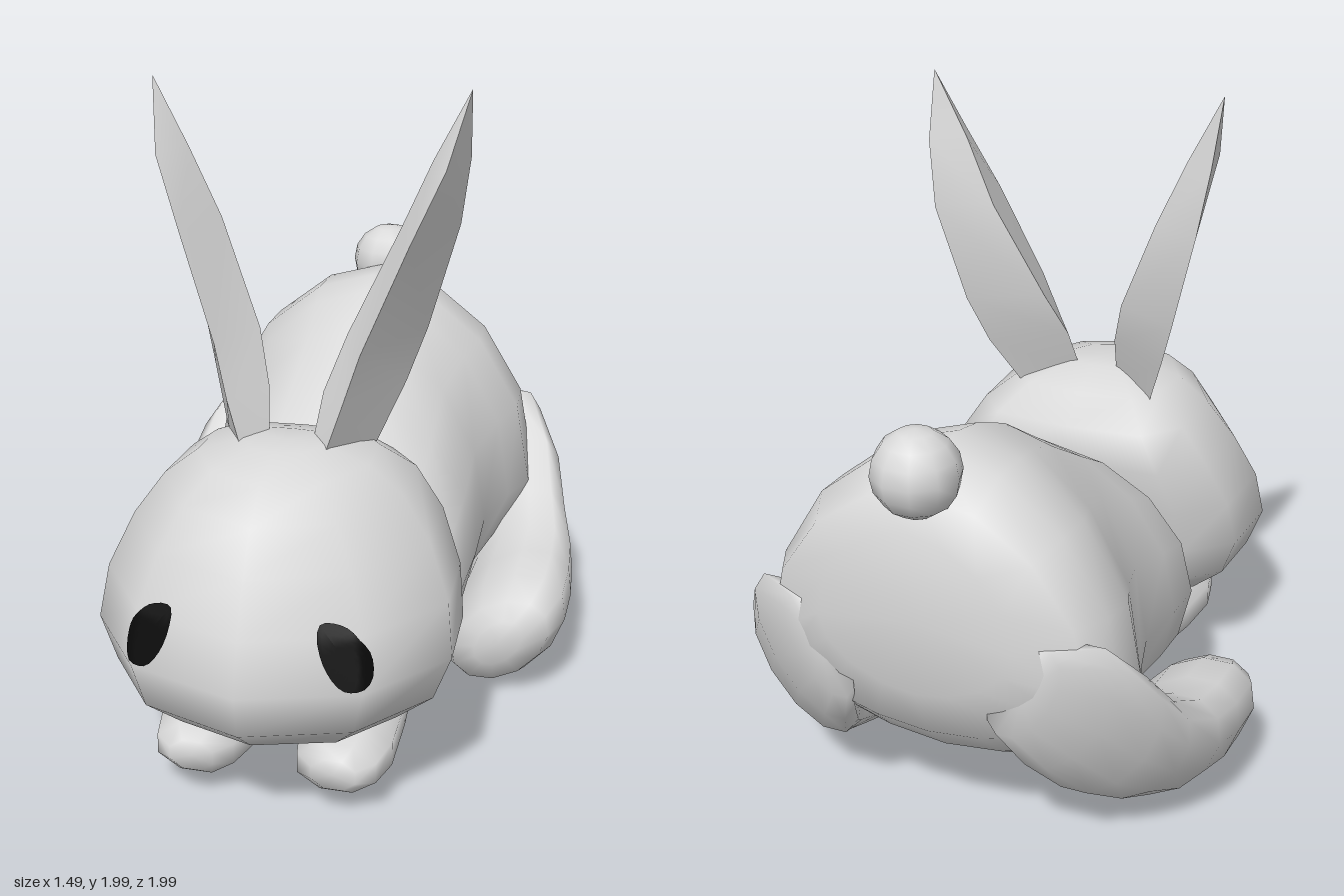
import * as THREE from 'three';
import { toCreasedNormals } from 'three/addons/utils/BufferGeometryUtils.js';

const fur = new THREE.MeshStandardMaterial({ color: 0xd9d9d9 });
fur.name = 'pale grey fur';
const black = new THREE.MeshStandardMaterial({ color: 0x0a0a0a, side: THREE.DoubleSide });
black.name = 'eye black';

// Smooth closed skin through rings of [x, y, z] points, capped at both ends
function loft(rings) {
  const n = rings[0].length, pos = rings.flat(2), idx = [];
  for (let r = 0; r < rings.length - 1; r++) {
    for (let i = 0; i < n; i++) {
      const a = r * n + i, b = r * n + (i + 1) % n;
      idx.push(a, b, b + n, a, b + n, a + n);
    }
  }
  const cap = (ring, start, flip) => {
    const c = pos.length / 3;
    pos.push(...[0, 1, 2].map(k => ring.reduce((s, p) => s + p[k], 0) / n));
    for (let i = 0; i < n; i++) {
      const a = start + i, b = start + (i + 1) % n;
      if (flip) idx.push(c, b, a); else idx.push(c, a, b);
    }
  };
  cap(rings[0], 0, true);
  cap(rings[rings.length - 1], (rings.length - 1) * n, false);
  // Turn the skin outward when its signed volume is negative
  const v = i => new THREE.Vector3(pos[i * 3], pos[i * 3 + 1], pos[i * 3 + 2]);
  let volume = 0;
  for (let i = 0; i < idx.length; i += 3) volume += v(idx[i]).dot(v(idx[i + 1]).cross(v(idx[i + 2])));
  if (volume < 0) idx.reverse();
  const g = new THREE.BufferGeometry();
  g.setAttribute('position', new THREE.Float32BufferAttribute(pos, 3));
  g.setIndex(idx);
  g.computeVertexNormals();
  return g;
}

// Limb sections: [z, centre x, centre y, radius x, radius y]; lean shears the oval
function limb(sections, side, lean, n) {
  return loft(sections.map(([z, cx, cy, rx, ry]) => Array.from({ length: n }, (_, i) => {
    const t = (i + 0.5) / n * Math.PI * 2, s = Math.sin(t);
    return [side * (cx + rx * Math.cos(t) + lean * ry * s), cy + ry * s, z];
  })));
}

// Body: [z, half width, bottom, height of widest point, top]
const BODY = [
  [0.34, 0.1, 0.14, 0.2, 0.3], [0.27, 0.3, 0.09, 0.28, 0.5], [0.2, 0.4, 0.07, 0.42, 0.78],
  [0.08, 0.455, 0.03, 0.46, 0.88], [-0.1, 0.46, 0.05, 0.48, 0.985], [-0.32, 0.45, 0.08, 0.5, 1.12],
  [-0.5, 0.5, 0.14, 0.52, 1.195], [-0.62, 0.55, 0.2, 0.53, 1.22], [-0.75, 0.54, 0.29, 0.56, 1.22],
  [-0.86, 0.48, 0.4, 0.62, 1.14], [-0.93, 0.29, 0.56, 0.75, 1.05],
];
function bodyGeometry() {
  return loft(BODY.map(([z, w, yb, yw, yt]) => Array.from({ length: 16 }, (_, i) => {
    const t = i / 16 * Math.PI * 2, c = Math.cos(t), s = Math.sin(t);
    return [w * Math.sign(c) * Math.abs(c) ** 1.15, yw + s * (s > 0 ? yt - yw : yw - yb), z];
  })));
}

// Head levels: [y, front z, back z, half width]; outline: [width share, depth share]
const HEAD = [
  [0.245, 0.66, 0.42, 0.2], [0.275, 0.85, 0.32, 0.36], [0.37, 0.97, 0.25, 0.47],
  [0.5, 1.0, 0.21, 0.52], [0.65, 0.965, 0.17, 0.5], [0.8, 0.9, 0.13, 0.435],
  [0.92, 0.83, 0.14, 0.35], [1.0, 0.73, 0.24, 0.25], [1.04, 0.58, 0.38, 0.12],
];
const OUTLINE = [[0, 1], [0.63, 0.86], [1, 0.53], [0.97, 0.2], [0.7, 0.03], [0, 0]];
function headGeometry() {
  const around = [...OUTLINE, ...OUTLINE.slice(1, -1).reverse().map(([x, t]) => [-x, t])];
  return loft(HEAD.map(([y, zf, zb, w]) => around.map(([x, t]) => [x * w, y, zb + (zf - zb) * t])));
}
// Depth of the face at a point, for laying the eyes on it
function faceZ(x, y) {
  const k = HEAD.findIndex(l => l[0] > y), lo = HEAD[k - 1], hi = HEAD[k];
  const f = (y - lo[0]) / (hi[0] - lo[0]);
  const [zf, zb, w] = [1, 2, 3].map(j => lo[j] + (hi[j] - lo[j]) * f);
  const s = Math.abs(x) / w;
  const t = s < 0.63 ? 1 - s / 0.63 * 0.14 : 0.86 - (s - 0.63) / 0.37 * 0.33;
  return zb + (zf - zb) * t;
}

// Eye: a slanted almond patch lying just over the face
const EYE = [[0.205, 0.69], [0.275, 0.68], [0.335, 0.61], [0.34, 0.525], [0.28, 0.515], [0.22, 0.59]];
function eyeGeometry(side) {
  const curve = new THREE.CatmullRomCurve3(EYE.map(([x, y]) => new THREE.Vector3(x, y, 0)), true);
  const edge = curve.getPoints(24), steps = 6, pos = [], idx = [];
  for (let r = 0; r <= steps; r++) {
    for (const p of edge) {
      const x = 0.277 + (p.x - 0.277) * r / steps, y = 0.602 + (p.y - 0.602) * r / steps;
      pos.push(side * (x + 0.003), y, faceZ(x, y) + 0.009);
    }
  }
  const n = edge.length;
  for (let r = 0; r < steps; r++) {
    for (let i = 0; i < n - 1; i++) {
      const a = r * n + i;
      idx.push(a, a + n, a + n + 1, a, a + n + 1, a + 1);
    }
  }
  const g = new THREE.BufferGeometry();
  g.setAttribute('position', new THREE.Float32BufferAttribute(pos, 3));
  g.setIndex(idx);
  g.computeVertexNormals();
  return g;
}

// Ear sections: [y, front x, z, inner x, z, back x, z]
const EAR = [
  [0.98, 0.11, 0.51, 0.06, 0.43, 0.22, 0.3], [1.15, 0.165, 0.49, 0.08, 0.35, 0.29, 0.2],
  [1.3, 0.21, 0.455, 0.13, 0.27, 0.34, 0.145], [1.6, 0.33, 0.385, 0.265, 0.19, 0.42, 0.1],
  [1.8, 0.415, 0.32, 0.355, 0.2, 0.45, 0.13], [2.0, 0.46, 0.2, 0.459, 0.199, 0.46, 0.198],
];
function earGeometry(side) {
  const rings = EAR.map(([y, fx, fz, ix, iz, bx, bz]) => [[fx, fz], [ix, iz], [bx, bz]]
    .map(([x, z]) => [side * x, y, z]));
  return toCreasedNormals(loft(rings), 0.7);
}

const HIND_LEG = [
  [-0.03, 0.55, 0.21, 0.07, 0.08], [-0.07, 0.55, 0.2, 0.145, 0.145], [-0.17, 0.55, 0.2, 0.18, 0.195],
  [-0.32, 0.55, 0.215, 0.18, 0.2], [-0.46, 0.55, 0.25, 0.165, 0.19], [-0.6, 0.52, 0.32, 0.15, 0.19],
  [-0.72, 0.47, 0.43, 0.15, 0.22], [-0.83, 0.4, 0.56, 0.13, 0.22], [-0.9, 0.31, 0.62, 0.09, 0.15],
];
const FRONT_LEG = [
  [0.75, 0.21, 0.15, 0.07, 0.05], [0.71, 0.21, 0.15, 0.125, 0.08], [0.6, 0.21, 0.152, 0.15, 0.095],
  [0.4, 0.21, 0.17, 0.145, 0.095], [0.2, 0.21, 0.2, 0.13, 0.09],
];

export function createModel() {
  const model = new THREE.Group();
  model.name = 'rabbit';
  const add = (name, geometry, material = fur) => {
    const mesh = new THREE.Mesh(geometry, material);
    mesh.name = name;
    model.add(mesh);
    return mesh;
  };
  add('body', bodyGeometry());
  add('head', headGeometry());
  add('tail', new THREE.SphereGeometry(0.125, 10, 8)).position.set(0, 1.205, -0.873);

  // Paired parts
  for (const [label, side] of [['left', 1], ['right', -1]]) {
    add(label + 'Ear', earGeometry(side));
    add(label + 'Eye', eyeGeometry(side), black);
    add(label + 'HindLeg', limb(HIND_LEG, side, 0.4, 12));
    add(label + 'FrontLeg', limb(FRONT_LEG, side, 0, 8));
  }
  return model;
}
